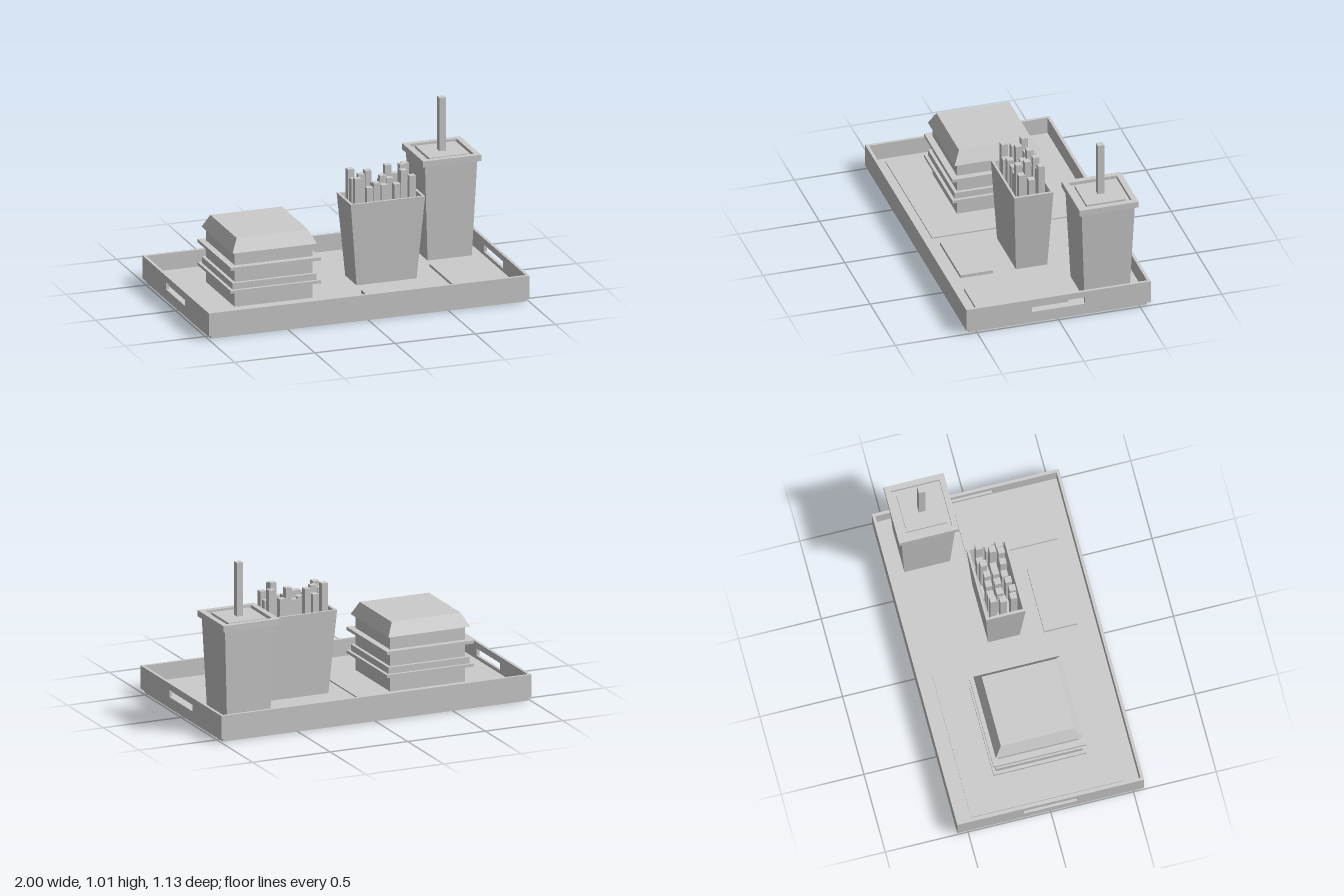
import * as THREE from 'three';

const material = new THREE.MeshStandardMaterial({ color: 0xcccccc, flatShading: true });

function addMesh(parent, name, geometry, x = 0, y = 0, z = 0) {
  const mesh = new THREE.Mesh(geometry, material);
  mesh.name = name;
  mesh.position.set(x, y, z);
  parent.add(mesh);
  return mesh;
}

function addGroup(parent, name, x = 0, z = 0) {
  const group = new THREE.Group();
  group.name = name;
  group.position.set(x, 0, z);
  parent.add(group);
  return group;
}

// Skins a stack of rectangles [y, halfX, halfZ], capped at both ends
function loft(rings) {
  const corners = rings.map(([y, hx, hz = hx]) => [
    [hx, y, hz], [hx, y, -hz], [-hx, y, -hz], [-hx, y, hz],
  ]);
  const positions = [];
  const quad = (a, b, c, d) => positions.push(...a, ...b, ...c, ...a, ...c, ...d);
  for (let r = 0; r < corners.length - 1; r++) {
    for (let i = 0; i < 4; i++) {
      const j = (i + 1) % 4;
      quad(corners[r][i], corners[r][j], corners[r + 1][j], corners[r + 1][i]);
    }
  }
  quad(...corners[corners.length - 1]);
  quad(...[...corners[0]].reverse());
  const geometry = new THREE.BufferGeometry();
  geometry.setAttribute('position', new THREE.Float32BufferAttribute(positions, 3));
  geometry.computeVertexNormals();
  return geometry;
}

const slab = (y0, y1, hx, hz = hx) => loft([[y0, hx, hz], [y1, hx, hz]]);

const FLOOR = 0.06;

function buildTray(root) {
  const tray = addGroup(root, 'tray');
  const wall = 0.018, top = 0.163, hx = 1, hz = 0.565;
  addMesh(tray, 'trayFoot', slab(0, 0.022, 0.982, 0.547));
  addMesh(tray, 'trayFloor', slab(0.022, FLOOR, hx, hz));

  // End walls with a handle slot
  const shape = new THREE.Shape([
    new THREE.Vector2(-hz, FLOOR), new THREE.Vector2(hz, FLOOR),
    new THREE.Vector2(hz, top), new THREE.Vector2(-hz, top),
  ]);
  shape.holes.push(new THREE.Path([
    new THREE.Vector2(-0.162, 0.081), new THREE.Vector2(-0.162, 0.125),
    new THREE.Vector2(0.162, 0.125), new THREE.Vector2(0.162, 0.081),
  ]));
  const end = new THREE.ExtrudeGeometry(shape, { depth: wall, bevelEnabled: false });
  end.rotateY(Math.PI / 2);
  addMesh(tray, 'leftEndWall', end, hx - wall);
  addMesh(tray, 'rightEndWall', end, -hx);

  // Long walls
  const side = slab(FLOOR, top, hx - wall, wall / 2);
  addMesh(tray, 'frontWall', side, 0, 0, hz - wall / 2);
  addMesh(tray, 'backWall', side, 0, 0, -hz + wall / 2);
}

function buildPapers(root) {
  addMesh(root, 'placemat', slab(FLOOR, 0.068, 0.463, 0.463), -0.478, 0, -0.003);
  addMesh(root, 'napkin', slab(FLOOR, 0.08, 0.2, 0.1), 0.27, 0, 0.337);
  addMesh(root, 'card', slab(FLOOR, 0.076, 0.151, 0.272), 0.764, 0, 0.187);
}

function buildBurger(root) {
  const burger = addGroup(root, 'burger', -0.478, -0.002);
  const layers = [
    ['bottomBun', 0.068, 0.165, 0.242],
    ['lowerLettuce', 0.165, 0.183, 0.281],
    ['lowerPatty', 0.183, 0.222, 0.262],
    ['middleBun', 0.222, 0.306, 0.242],
    ['upperLettuce', 0.306, 0.325, 0.281],
    ['upperPatty', 0.325, 0.406, 0.242],
  ];
  for (const [name, y0, y1, half] of layers) addMesh(burger, name, slab(y0, y1, half));
  addMesh(burger, 'topBun', loft([[0.406, 0.263], [0.486, 0.223]]));
}

function buildFries(root) {
  const fries = addGroup(root, 'fries', 0.28, 0);
  // Tapered carton, hollow at the top
  addMesh(fries, 'carton', loft([
    [FLOOR, 0.187, 0.096], [0.57, 0.232, 0.12],
    [0.57, 0.216, 0.106], [0.4, 0.198, 0.086],
  ]));
  // Sticks: top heights per row, back to front
  const xs = [-0.17, -0.112, -0.052, 0.008, 0.062, 0.115, 0.17];
  const rows = [
    { z: -0.062, tops: [0.73, 0.67, 0.71, 0.65, 0.73, 0.67, 0.73] },
    { z: -0.002, tops: [0.69, 0.71, 0.65, 0.69, 0.67, 0.75, 0.65] },
    { z: 0.06, tops: [0.71, 0.65, 0.67, 0.65, 0.65, 0.73, 0.69] },
  ];
  rows.forEach(({ z, tops }, r) => tops.forEach((top, i) => {
    const shift = i > 0 && i < 6 ? [0.012, 0, -0.01][(i + r) % 3] : 0;
    addMesh(fries, 'fry', slab(0.39, top, 0.0195), xs[i] + shift, 0, z + (i % 2 ? shift : 0));
  }));
}

function buildDrink(root) {
  const drink = addGroup(root, 'drink', 0.777, -0.323);
  addMesh(drink, 'cup', loft([[FLOOR, 0.138], [0.652, 0.163]]));
  // Lid with a square groove
  addMesh(drink, 'lid', loft([
    [0.652, 0.181], [0.69, 0.181], [0.69, 0.147],
    [0.67, 0.147], [0.67, 0.12], [0.685, 0.12],
  ]));
  addMesh(drink, 'straw', slab(0.67, 1.012, 0.02));
}

export function createModel() {
  const root = new THREE.Group();
  root.name = 'mealTray';
  buildTray(root);
  buildPapers(root);
  buildBurger(root);
  buildFries(root);
  buildDrink(root);
  return root;
}
